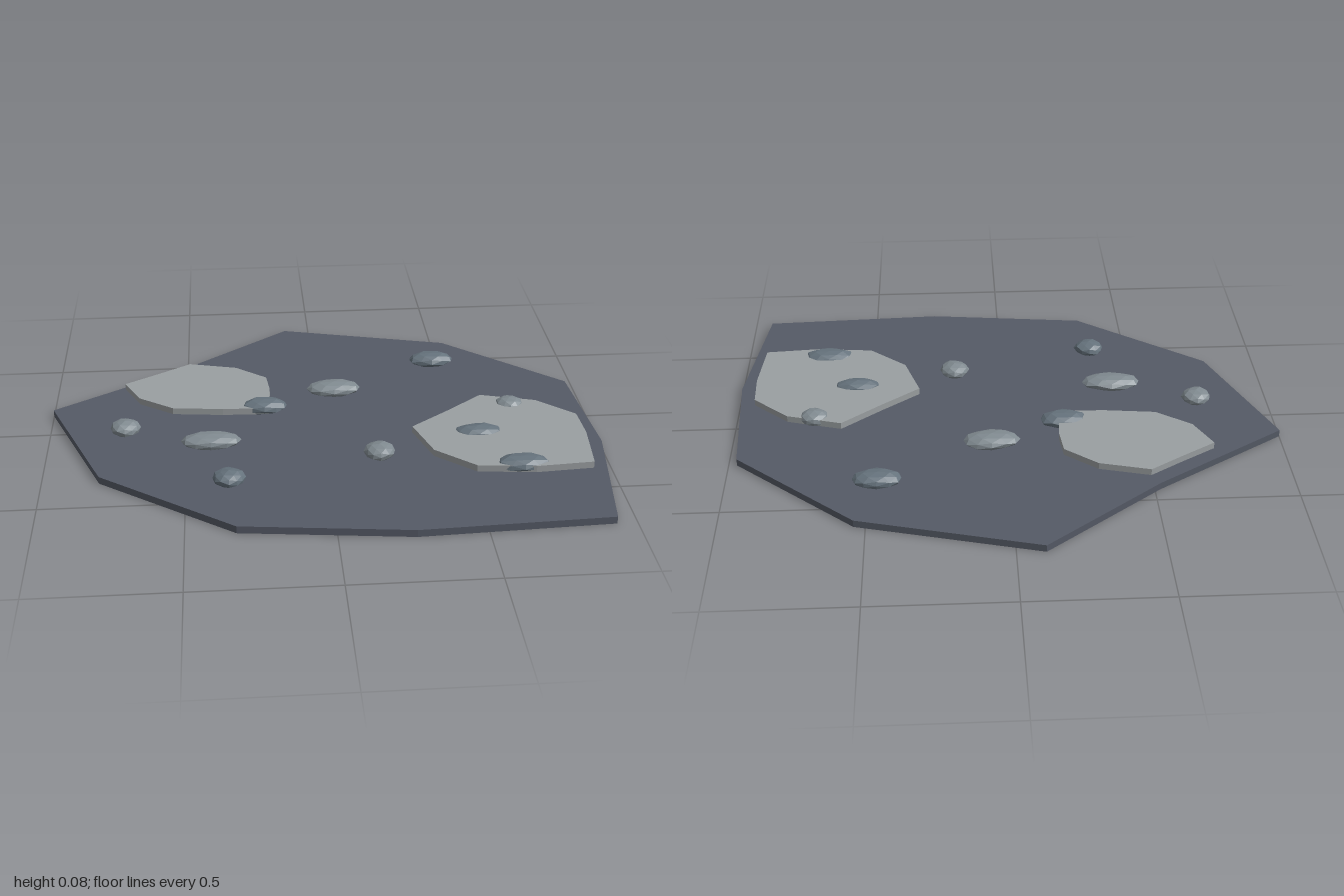
import * as THREE from 'three';

const material = (color) => new THREE.MeshStandardMaterial({ color, flatShading: true });

// Flat slab from an [x, z] outline, between two heights
function slab(name, outline, bottom, top, mat) {
  const shape = new THREE.Shape(outline.map(([x, z]) => new THREE.Vector2(x, z)));
  const geo = new THREE.ExtrudeGeometry(shape, { depth: top - bottom, bevelEnabled: false });
  geo.rotateX(Math.PI / 2).translate(0, top, 0);
  const mesh = new THREE.Mesh(geo, mat);
  mesh.name = name;
  return mesh;
}

// Faceted stone: a low-poly ball with slightly uneven radius
function pebble(x, z, rx, rz, seed, mat) {
  const geo = new THREE.IcosahedronGeometry(1, 1);
  const pos = geo.attributes.position;
  const v = new THREE.Vector3();
  for (let i = 0; i < pos.count; i++) {
    v.fromBufferAttribute(pos, i);
    const bump = 0.97 + 0.06 * Math.sin(v.x * 4.1 + seed * 1.7) * Math.cos(v.y * 3.3 + v.z * 5.2 + seed);
    v.multiplyScalar(bump);
    pos.setXYZ(i, v.x * rx, v.y * 0.029, v.z * rz);
  }
  geo.computeVertexNormals();
  const mesh = new THREE.Mesh(geo, mat);
  mesh.position.set(x, 0.055, z);
  mesh.name = 'pebble';
  return mesh;
}

export function createModel() {
  const group = new THREE.Group();
  group.name = 'stonyGround';
  const ground = material(0x555a66);
  const plate = material(0x9a9fa1);
  const lightStone = material(0x808a90);
  const darkStone = material(0x65727c);

  // Ground slab
  group.add(slab('groundSlab', [
    [-0.1, -0.76], [0.54, -0.6], [0.97, -0.23], [1, 0.23], [0.93, 0.725],
    [0.26, 0.755], [-0.33, 0.69], [-0.8, 0.35], [-1, -0.14], [-0.52, -0.44],
  ], 0, 0.027, ground));

  // Two pale flat patches just above the ground
  group.add(slab('leftPatch', [
    [-0.49, -0.41], [-0.31, -0.365], [-0.195, -0.275], [-0.185, -0.18], [-0.195, -0.03],
    [-0.365, -0.035], [-0.55, -0.055], [-0.675, -0.14], [-0.735, -0.26], [-0.61, -0.335],
  ], 0.04, 0.065, plate));
  group.add(slab('rightPatch', [
    [0.605, -0.075], [0.805, -0.02], [0.935, 0.095], [0.94, 0.23], [0.92, 0.435],
    [0.715, 0.45], [0.51, 0.43], [0.375, 0.315], [0.32, 0.145], [0.46, 0.04],
  ], 0.04, 0.065, plate));

  // Scattered pebbles: x, z, half width, half depth, material
  [
    [0.465, -0.405, 0.09, 0.05, darkStone],
    [0.06, -0.19, 0.106, 0.055, lightStone],
    [-0.21, -0.07, 0.088, 0.05, darkStone],
    [-0.72, 0.06, 0.056, 0.052, lightStone],
    [-0.41, 0.175, 0.113, 0.053, lightStone],
    [-0.35, 0.43, 0.058, 0.052, darkStone],
    [0.185, 0.29, 0.057, 0.055, lightStone],
    [0.705, -0.015, 0.056, 0.048, lightStone],
    [0.555, 0.185, 0.093, 0.047, darkStone],
    [0.675, 0.405, 0.1, 0.05, darkStone],
  ].forEach(([x, z, rx, rz, mat], i) => group.add(pebble(x, z, rx, rz, i + 1, mat)));

  return group;
}
